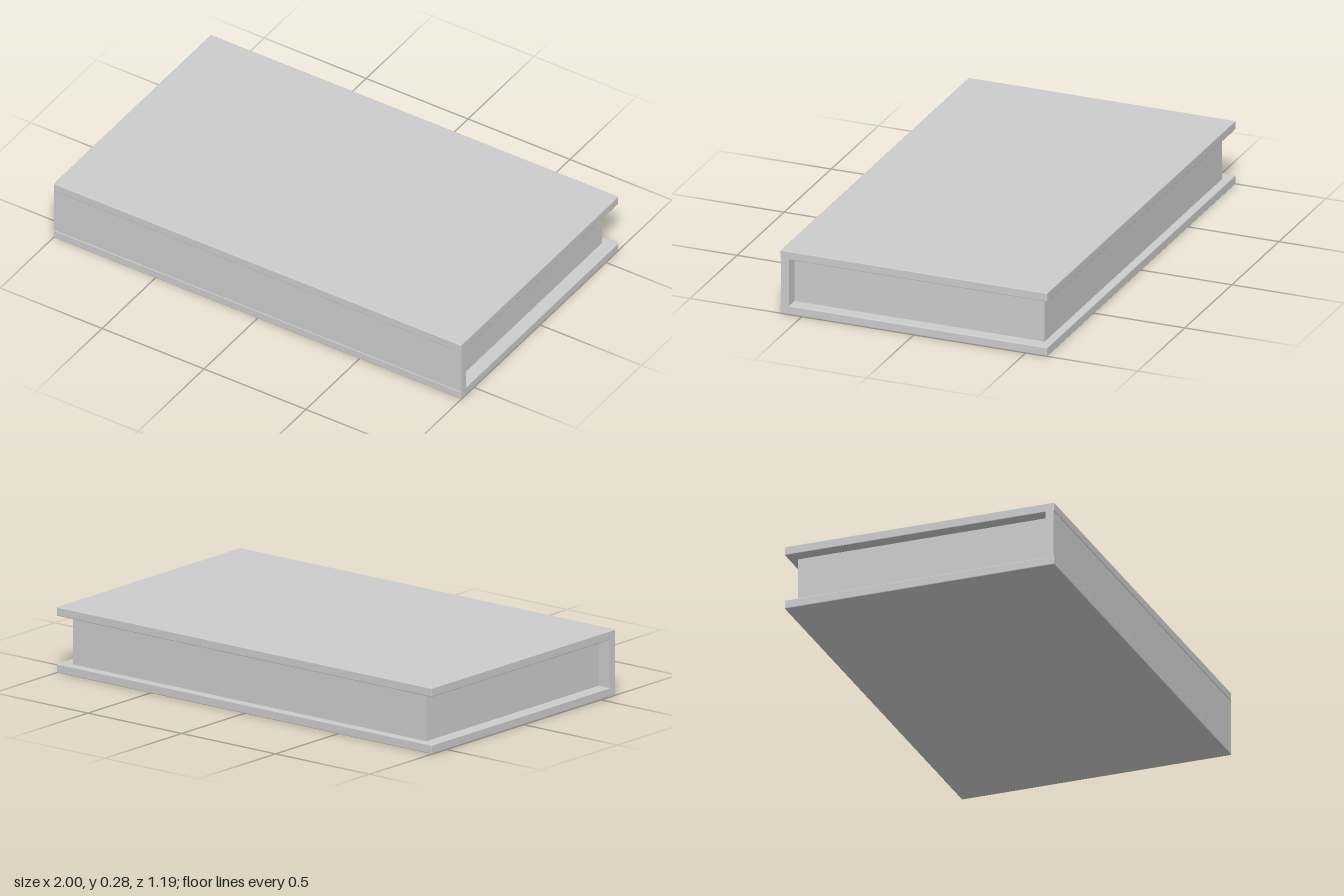
import * as THREE from 'three';
import { RoundedBoxGeometry } from 'three/addons/geometries/RoundedBoxGeometry.js';

const HEIGHT = 0.281, DEPTH = 1.192, BOARD = 0.038, PAGE_INSET = 0.058;

export function createModel() {
  const book = new THREE.Group();
  book.name = 'book';
  const material = new THREE.MeshStandardMaterial({ color: 0xcccccc, flatShading: true });

  const add = (name, geometry, y, z) => {
    const mesh = new THREE.Mesh(geometry, material);
    mesh.name = name;
    mesh.position.set(0, y, z);
    book.add(mesh);
  };

  // Two cover boards with finely softened edges
  const cover = new RoundedBoxGeometry(2, BOARD, DEPTH, 1, 0.003);
  add('bottomCover', cover, BOARD / 2, 0);
  add('topCover', cover, HEIGHT - BOARD / 2, 0);

  // Spine board joining the covers along the front
  const gap = HEIGHT - 2 * BOARD;
  add('spine', new THREE.BoxGeometry(2, gap + 0.006, BOARD - 0.002), HEIGHT / 2, DEPTH / 2 - BOARD / 2 - 0.001);

  // Page block, set back from the three open edges
  add('pages', new THREE.BoxGeometry(2 - 2 * PAGE_INSET, gap, DEPTH - 2 * BOARD + 0.004), HEIGHT / 2, 0);

  return book;
}
